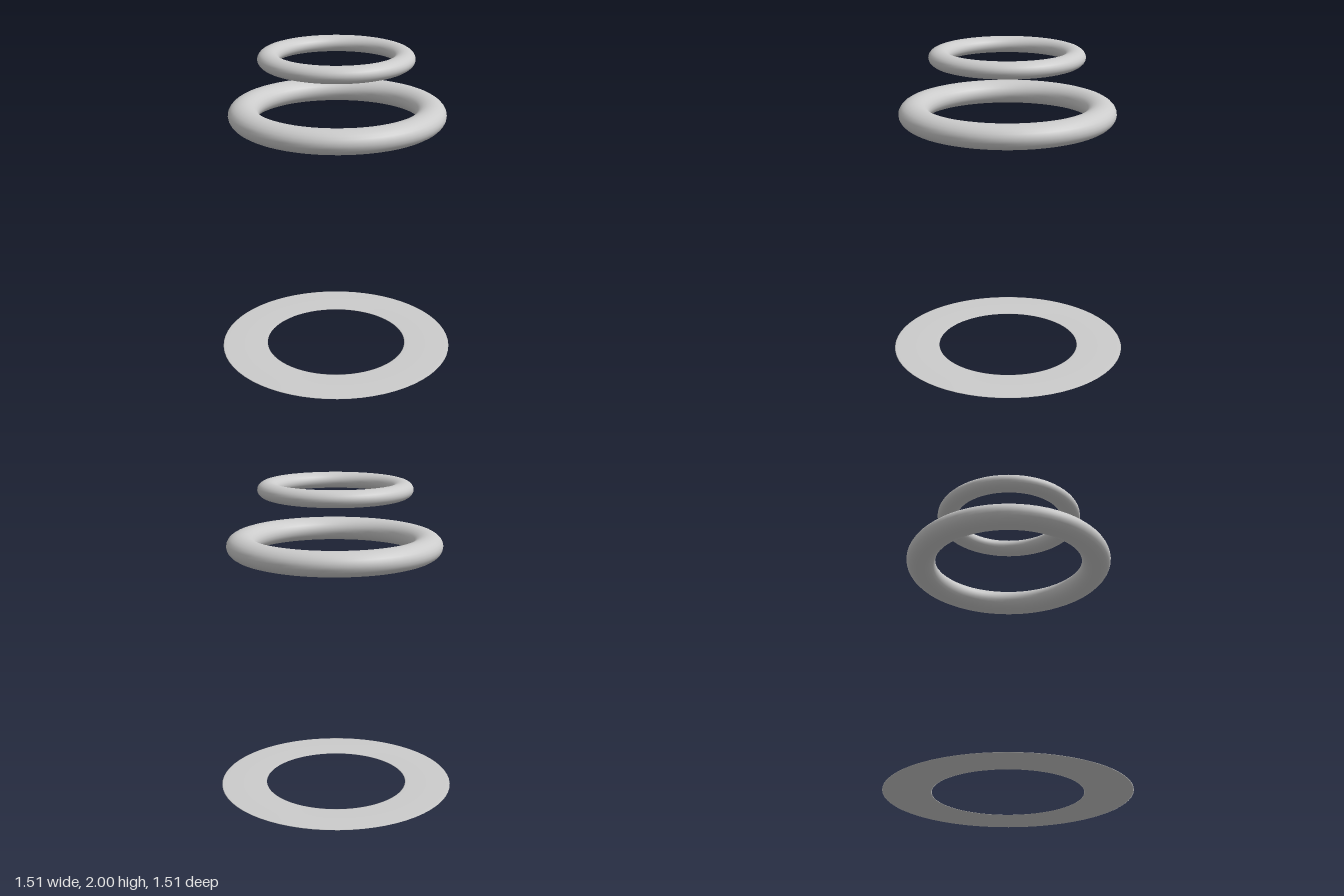
import * as THREE from 'three';

const material = new THREE.MeshStandardMaterial({ color: 0xcccccc });

// Horizontal ring with an elliptical section, given by its inner and outer radius
function ring(name, inner, outer, bottom, top, x, z) {
  const tube = (outer - inner) / 2;
  const geometry = new THREE.TorusGeometry((outer + inner) / 2, tube, 24, 64);
  geometry.rotateX(-Math.PI / 2);
  geometry.scale(1, (top - bottom) / 2 / tube, 1);
  const mesh = new THREE.Mesh(geometry, material);
  mesh.name = name;
  mesh.position.set(x, (top + bottom) / 2, z);
  return mesh;
}

export function createModel() {
  const model = new THREE.Group();
  model.name = 'stackedRings';
  model.add(
    ring('flatBaseRing', 0.46, 0.757, 0, 0.005, 0, 0),
    ring('middleRing', 0.489, 0.68, 1.523, 1.674, 0.006, 0.006),
    ring('topRing', 0.35, 0.484, 1.897, 2, 0, 0.006),
  );
  return model;
}
